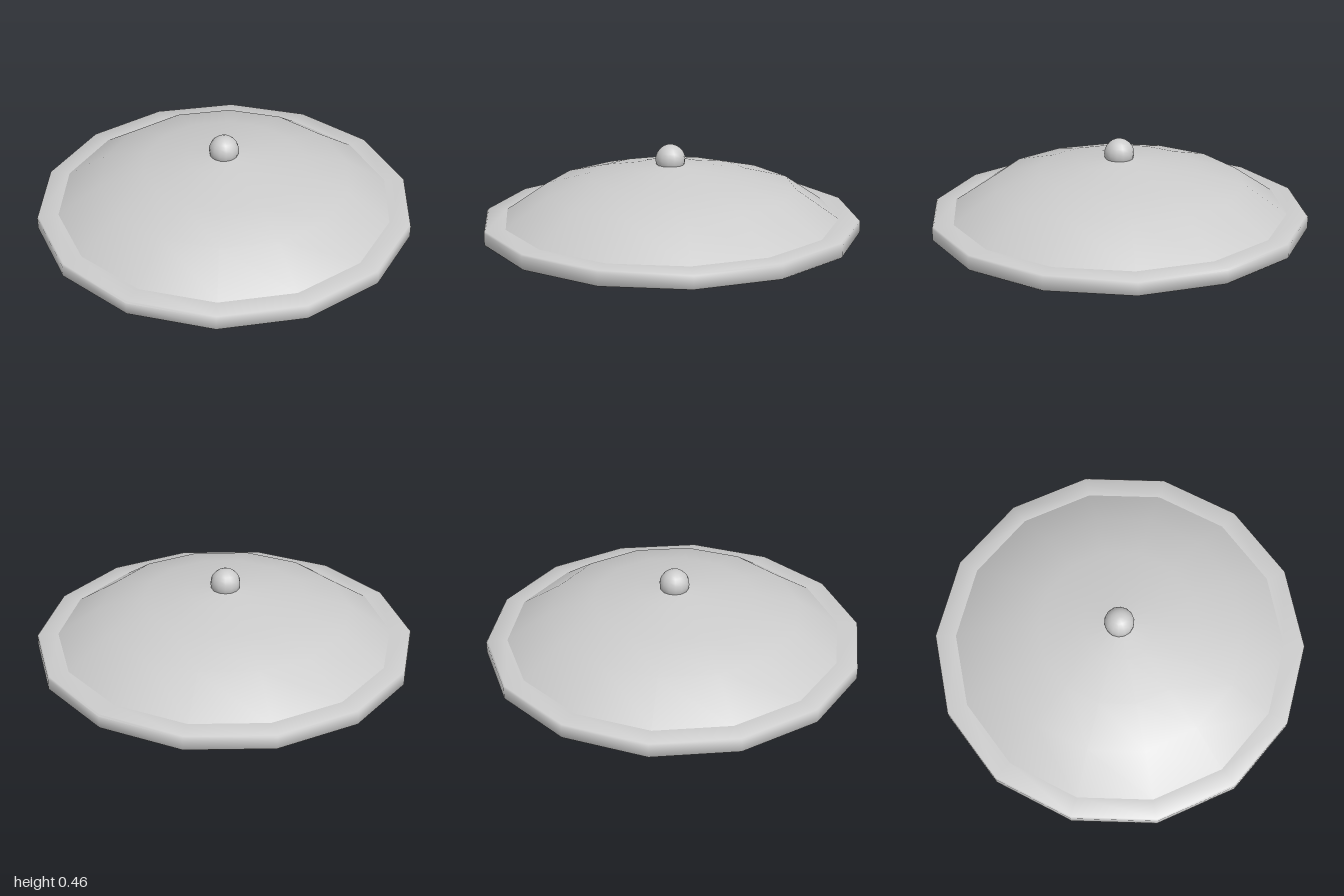
import * as THREE from 'three';
import { toCreasedNormals } from 'three/addons/utils/BufferGeometryUtils.js';

const SIDES = 14;
const TURN = 0.033; // slight turn of the lid about its axis

export function createModel() {
  const lid = new THREE.Group();
  lid.name = 'lid';
  const material = new THREE.MeshStandardMaterial({ color: 0xcccccc });

  const lathe = (points) => new THREE.LatheGeometry(
    points.map(([r, y]) => new THREE.Vector2(r, y)), SIDES, TURN, Math.PI * 2);
  const add = (name, geometry) => {
    const mesh = new THREE.Mesh(geometry, material);
    mesh.name = name;
    lid.add(mesh);
    return mesh;
  };

  // flat rim with softly rounded outer edges, open where it meets the dome shells
  const rim = lathe([
    [0.895, 0], [0.992, 0], [1, 0.008], [1, 0.07], [0.992, 0.078], [0.888, 0.078],
  ]);
  add('rim', toCreasedNormals(rim, 0.9));

  // thick dome: outer shell, and an inner shell running up from the rim's underside
  add('domeOuter', lathe([[0.888, 0.078], [0.665, 0.23], [0.43, 0.293], [0.2, 0.338], [0, 0.357]]));
  add('domeInner', lathe([[0, 0.282], [0.19, 0.264], [0.415, 0.219], [0.645, 0.158], [0.895, 0]]));

  // round knob sunk into the crown
  const knob = add('knob', new THREE.SphereGeometry(0.079, 14, 12));
  knob.position.set(-0.004, 0.377, 0);

  // the lid leans very slightly forward
  lid.rotation.x = 0.003;
  lid.position.y = 0.003;
  return lid;
}
